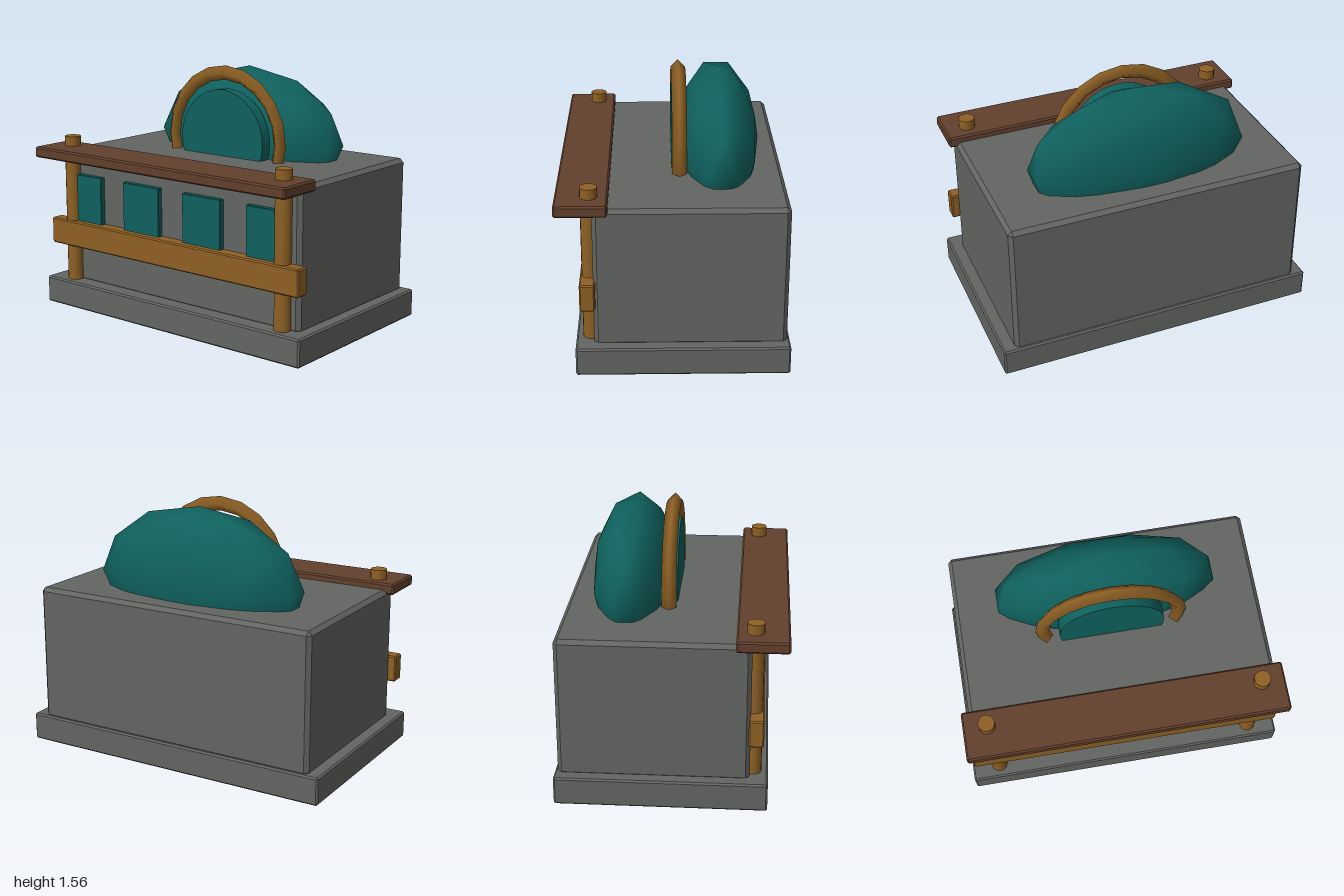
import * as THREE from 'three';
import { ConvexGeometry } from 'three/addons/geometries/ConvexGeometry.js';

const material = (name, color) => {
  const m = new THREE.MeshStandardMaterial({ color });
  m.name = name;
  return m;
};

// Box from min/max ranges with one flat chamfer along every edge
function chamferBox([x0, x1], [y0, y1], [z0, z1], b) {
  const half = [(x1 - x0) / 2, (y1 - y0) / 2, (z1 - z0) / 2];
  const points = [];
  for (const sx of [-1, 1]) for (const sy of [-1, 1]) for (const sz of [-1, 1])
    for (let axis = 0; axis < 3; axis++) {
      const [x, y, z] = half.map((h, i) => (i === axis ? h : h - b));
      points.push(new THREE.Vector3(sx * x, sy * y, sz * z));
    }
  return new ConvexGeometry(points).translate((x0 + x1) / 2, (y0 + y1) / 2, (z0 + z1) / 2);
}

export function createModel() {
  const model = new THREE.Group();
  model.name = 'marketStall';

  const stone = material('stone grey', 0x636562);
  const teal = material('deep teal', 0x0f615e);
  const wood = material('golden wood', 0x8e6024);
  const darkWood = material('dark wood', 0x623f2c);

  const add = (name, geometry, mat) => {
    const mesh = new THREE.Mesh(geometry, mat);
    mesh.name = name;
    model.add(mesh);
    return mesh;
  };

  // Plinth and main block
  add('base', chamferBox([-1, 1], [0, 0.17], [-0.667, 0.563], 0.01), stone);
  add('body', chamferBox([-0.927, 0.925], [0.15, 1], [-0.65, 0.458], 0.024), stone);

  // Counter shelf and front rail
  add('counter', chamferBox([-0.97, 0.967], [0.973, 1.04], [0.368, 0.667], 0.01), darkWood);
  add('frontRail', chamferBox([-0.972, 0.97], [0.395, 0.56], [0.447, 0.535], 0.008), wood);

  // Posts rising through the counter
  for (const x of [-0.825, 0.823]) {
    add('post', new THREE.CylinderGeometry(0.05, 0.05, 0.95, 16), wood)
      .position.set(x, 0.625, 0.475);
  }

  // Row of front panels
  for (let i = 0; i < 4; i++) {
    const x = -0.717 + i * 0.477;
    add('frontPanel', chamferBox([x - 0.145, x + 0.145], [0.44, 0.86], [0.43, 0.49], 0.004), teal);
  }

  // Low-poly dome: an icosphere with one corner turned straight up
  const dome = new THREE.IcosahedronGeometry(1, 1);
  dome.rotateX(-Math.atan((1 + Math.sqrt(5)) / 2));
  dome.rotateY(Math.PI / 2);
  dome.scale(0.695, 0.45, 0.249);
  add('dome', dome, teal).position.set(0, 1.085, -0.28);

  // Arch and round plate, both sunk into the block
  add('arch', new THREE.TorusGeometry(0.416, 0.044, 4, 20), wood).position.set(0, 1.097, -0.04);
  const plate = new THREE.CylinderGeometry(0.318, 0.318, 0.075, 32).rotateX(Math.PI / 2);
  add('archPlate', plate, teal).position.set(0, 1.094, -0.032);

  return model;
}
